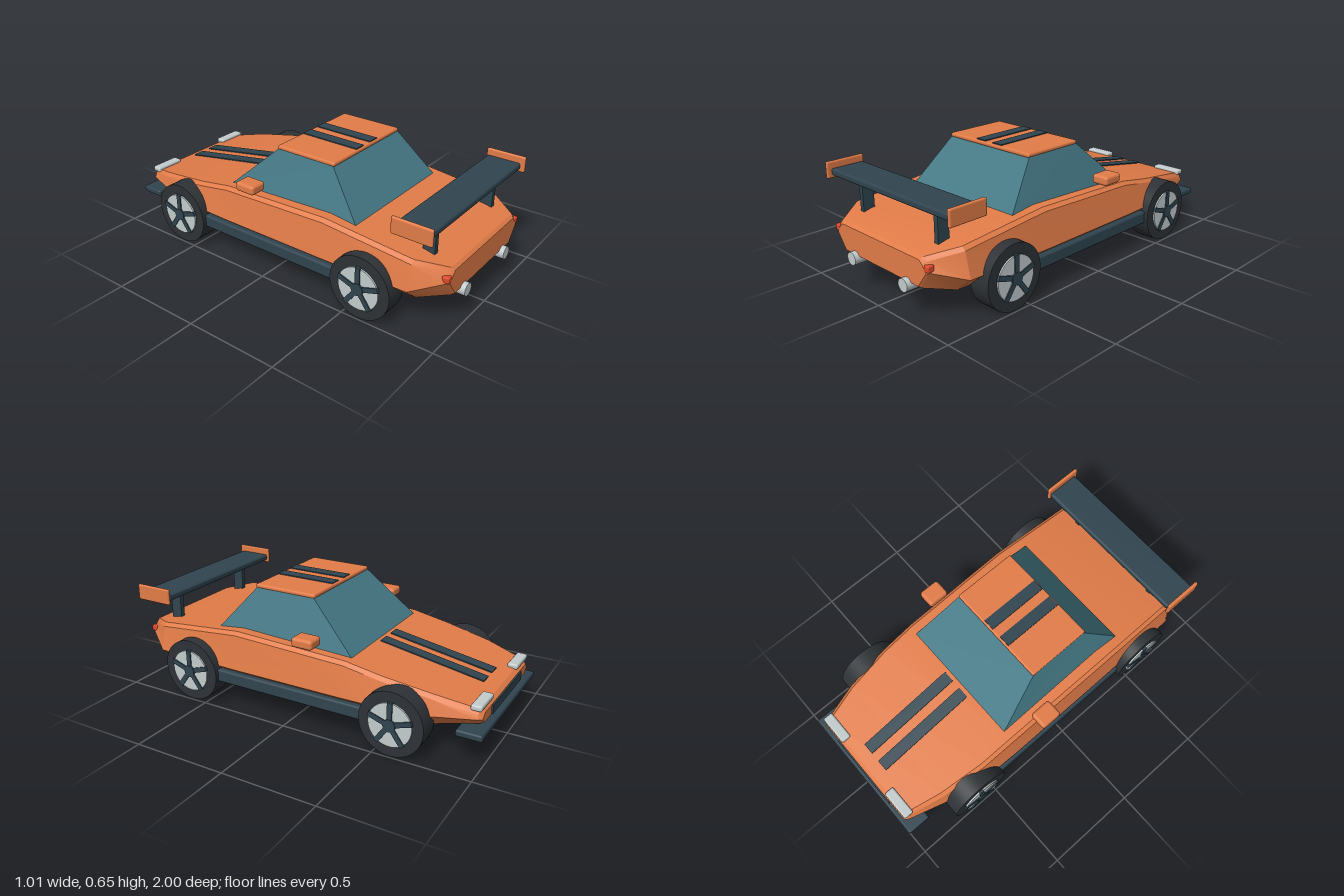
import * as THREE from 'three';
import { toCreasedNormals } from 'three/addons/utils/BufferGeometryUtils.js';
import { RoundedBoxGeometry } from 'three/addons/geometries/RoundedBoxGeometry.js';

const mat = (color) => new THREE.MeshStandardMaterial({ color });

export function createModel() {
  const car = new THREE.Group();
  car.name = 'sportsCar';
  const paint = mat(0xe27c48), dark = mat(0x30444f), glass = mat(0x457986);
  const silver = mat(0xc3cccd), rubber = mat(0x2e3236), red = mat(0xe04a2c);

  const add = (name, geo, material, x = 0, y = 0, z = 0, parent = car) => {
    const m = new THREE.Mesh(geo, material);
    m.name = name;
    m.position.set(x, y, z);
    parent.add(m);
    return m;
  };
  // Box given by its extents, with optional rounded edges
  const box = (name, material, [x0, x1], [y0, y1], [z0, z1], r = 0) => {
    const s = [x1 - x0, y1 - y0, z1 - z0];
    const geo = r ? new RoundedBoxGeometry(...s, 3, r) : new THREE.BoxGeometry(...s);
    return add(name, geo, material, (x0 + x1) / 2, (y0 + y1) / 2, (z0 + z1) / 2);
  };
  const span = (side, a, b) => (side > 0 ? [a, b] : [-b, -a]);

  // Body: loft of sections [z, topW, topY, midW, midY, bottomW, bottomY], nose to tail
  const sections = [
    [-0.975, 0.325, 0.25, 0.335, 0.225, 0.3, 0.197],
    [-0.955, 0.34, 0.267, 0.35, 0.225, 0.305, 0.187],
    [-0.75, 0.39, 0.312, 0.41, 0.215, 0.34, 0.145],
    [-0.5, 0.42, 0.355, 0.45, 0.215, 0.36, 0.135],
    [-0.3, 0.425, 0.39, 0.455, 0.215, 0.36, 0.135],
    [0.33, 0.43, 0.415, 0.455, 0.215, 0.36, 0.135],
    [0.82, 0.42, 0.367, 0.45, 0.22, 0.36, 0.143],
    [0.96, 0.33, 0.335, 0.355, 0.27, 0.29, 0.178],
    [0.975, 0.315, 0.32, 0.34, 0.268, 0.28, 0.188],
  ];
  const pos = [], idx = [], n = 8;
  for (const [z, tw, ty, mw, my, bw, by] of sections) {
    const half = [[bw, by], [mw, my], [tw, ty - 0.018], [tw - 0.02, ty]];
    for (const [x, y] of half) pos.push(x, y, z);
    for (const [x, y] of half.reverse()) pos.push(-x, y, z);
  }
  const last = (sections.length - 1) * n;
  for (let o = 0; o < last; o += n)
    for (let j = 0; j < n; j++) {
      const a = o + j, b = o + (j + 1) % n;
      idx.push(a, b, b + n, a, b + n, a + n);
    }
  for (let j = 1; j < n - 1; j++) idx.push(0, j + 1, j, last, last + j, last + j + 1);
  const bodyGeo = new THREE.BufferGeometry();
  bodyGeo.setAttribute('position', new THREE.Float32BufferAttribute(pos, 3));
  bodyGeo.setIndex(idx);
  add('body', toCreasedNormals(bodyGeo, 0.45), paint);

  // Glass cabin: a box tapered towards the roof
  const cabinGeo = new THREE.BoxGeometry(1, 1, 1).toNonIndexed();
  const p = cabinGeo.attributes.position;
  for (let i = 0; i < p.count; i++) {
    const top = p.getY(i) > 0, rear = p.getZ(i) > 0;
    const w = top ? 0.283 : rear ? 0.365 : 0.358;
    p.setXYZ(i, Math.sign(p.getX(i)) * w, top ? 0.625 : 0.385,
      rear ? (top ? 0.285 : 0.49) : (top ? -0.055 : -0.315));
  }
  cabinGeo.computeVertexNormals();
  add('cabinGlass', cabinGeo, glass);
  box('roof', paint, [-0.285, 0.285], [0.62, 0.643], [-0.06, 0.293], 0.01);

  // Front end and rear wing
  box('grille', dark, [-0.215, 0.215], [0.2, 0.247], [-0.983, -0.95]);
  box('splitter', dark, [-0.4, 0.4], [0.143, 0.177], [-1, -0.87], 0.01);
  box('wingBlade', dark, [-0.452, 0.452], [0.515, 0.551], [0.737, 0.92], 0.012);

  // Paired details
  for (const s of [1, -1]) {
    box('roofStripe', dark, span(s, 0.027, 0.09), [0.64, 0.648], [-0.05, 0.285]);
    const stripe = add('hoodStripe', new THREE.BoxGeometry(0.064, 0.006, 0.563), dark, s * 0.058, 0.341, -0.611);
    stripe.rotation.x = -Math.atan2(0.095, 0.555);
    box('headlight', silver, span(s, 0.178, 0.345), [0.262, 0.291], [-0.97, -0.915], 0.01);
    box('mirror', paint, span(s, 0.396, 0.492), [0.439, 0.489], [-0.167, -0.05], 0.016);
    box('wingEndplate', paint, span(s, 0.449, 0.468), [0.5, 0.585], [0.73, 0.94], 0.008);
    box('wingPost', dark, span(s, 0.27, 0.296), [0.345, 0.525], [0.803, 0.866]);
    box('sideSkirt', dark, span(s, 0.4, 0.468), [0.13, 0.2], [-0.46, 0.46], 0.012);
    box('tailLight', red, span(s, 0.325, 0.357), [0.273, 0.305], [0.94, 0.976], 0.006);
    const pipe = add('exhaust', new THREE.CylinderGeometry(0.033, 0.033, 0.09, 32), silver, s * 0.2, 0.174, 0.955);
    pipe.rotation.x = Math.PI / 2;
  }

  // Wheels: tyre, rim disc, five spokes and hub, the axle along x
  const r = 0.167;
  const disc = (name, radius, width, material, parent) => {
    const m = add(name, new THREE.CylinderGeometry(radius, radius, width, 48), material, 0, 0, 0, parent);
    m.rotation.z = Math.PI / 2;
  };
  for (const z of [-0.59, 0.59])
    for (const s of [1, -1]) {
      const wheel = new THREE.Group();
      wheel.name = (z < 0 ? 'front' : 'rear') + (s > 0 ? 'Left' : 'Right') + 'Wheel';
      wheel.position.set(s * 0.432, r, z);
      car.add(wheel);
      disc('tyre', r, 0.115, rubber, wheel);
      disc('rim', 0.112, 0.132, silver, wheel);
      disc('hub', 0.032, 0.15, dark, wheel);
      for (let i = 0; i < 5; i++) {
        const a = (i * Math.PI * 2) / 5;
        const spoke = add('spoke', new THREE.BoxGeometry(0.144, 0.113, 0.026), dark,
          0, 0.06 * Math.cos(a), 0.06 * Math.sin(a), wheel);
        spoke.rotation.x = a;
      }
    }
  return car;
}
